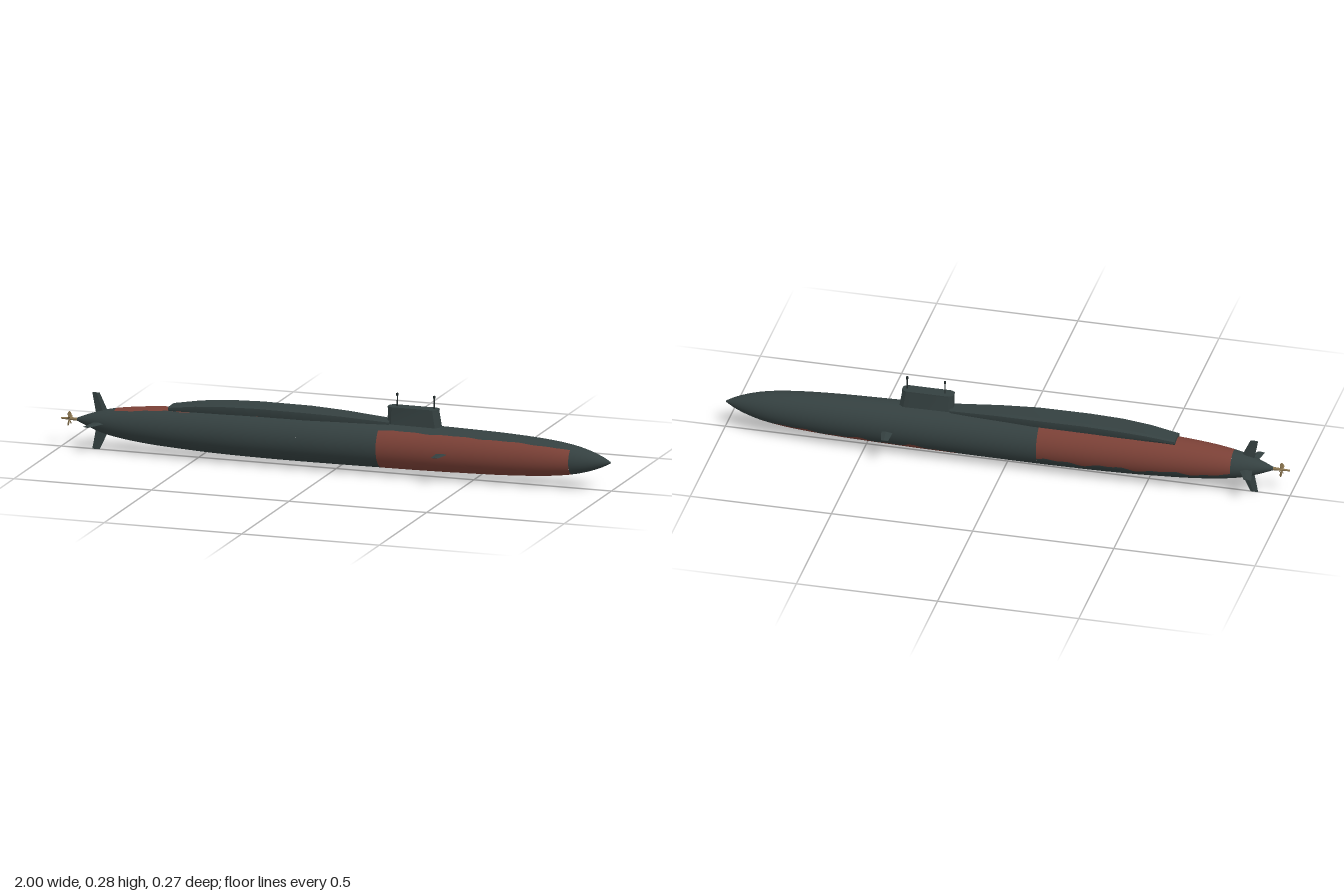
import * as THREE from 'three';
import { toCreasedNormals } from 'three/addons/utils/BufferGeometryUtils.js';
import { ParametricGeometry } from 'three/addons/geometries/ParametricGeometry.js';

const AXIS_Y = 0.1;
const RAD = Math.PI / 180;

function material(name, color) {
  const m = new THREE.MeshStandardMaterial({ color });
  m.name = name;
  return m;
}

// Hull radius along the length
const hullX = [-0.945, -0.9, -0.85, -0.8, -0.7, -0.55, -0.35, 0.25, 0.45, 0.65, 0.78, 0.86, 0.92, 0.97, 0.998];
const hullR = [0.004, 0.022, 0.039, 0.05, 0.063, 0.073, 0.08, 0.08, 0.077, 0.071, 0.062, 0.051, 0.036, 0.017, 0.002];
const hullCurve = new THREE.CubicInterpolant(hullX, hullR, 1, new Float64Array(1));
const radiusAt = (x) => hullCurve.evaluate(x)[0];

// Piece of hull skin between two stations and two angles (0 = +z, 90 = up)
function hullSkin(x0, x1, from, to, stacks) {
  return new ParametricGeometry((u, v, target) => {
    const x = x0 + (x1 - x0) * u;
    const a = THREE.MathUtils.lerp(from(x), to(x), v) * RAD;
    const r = radiusAt(x);
    target.set(x, AXIS_Y + r * Math.sin(a), r * Math.cos(a));
  }, Math.max(6, Math.round((x1 - x0) * 70)), stacks);
}

// Closed solid through rings of equal length, counter-clockwise seen from the last ring
function loft(rings, crease = 0.5) {
  const n = rings[0].length;
  const index = [];
  for (let s = 0; s < rings.length - 1; s++) {
    for (let i = 0; i < n; i++) {
      const j = (i + 1) % n;
      const a = s * n + i, b = s * n + j, c = (s + 1) * n + j, d = (s + 1) * n + i;
      index.push(a, b, c, a, c, d);
    }
  }
  const last = (rings.length - 1) * n;
  for (let i = 1; i < n - 1; i++) {
    index.push(0, i + 1, i);
    index.push(last, last + i, last + i + 1);
  }
  const g = new THREE.BufferGeometry();
  g.setAttribute('position', new THREE.Float32BufferAttribute(rings.flat(2), 3));
  g.setIndex(index);
  return toCreasedNormals(g, crease);
}

// Tapered diamond-section fin growing along +y
function finGeometry(rootY, tipY, root, tip, t) {
  const ring = (y, [x0, x1], h) => {
    const m = x0 + (x1 - x0) * 0.6;
    return [[x1, y, 0], [m, y, -h], [x0, y, 0], [m, y, h]];
  };
  return loft([ring(rootY, root, t), ring(tipY, tip, t * 0.6)], 0.1);
}

export function createModel() {
  const model = new THREE.Group();
  model.name = 'submarine';
  const steel = material('darkSlate', 0x344040);
  const red = material('rustRed', 0x7a4036);
  const brass = material('brass', 0x8a7550);
  const dark = material('blackSteel', 0x222a2a);

  const add = (name, geometry, mat, parent = model) => {
    const mesh = new THREE.Mesh(geometry, mat);
    mesh.name = name;
    parent.add(mesh);
    return mesh;
  };

  // Hull: plain bands, and bands split into red patch and slate remainder
  const hull = new THREE.Group();
  hull.name = 'hull';
  model.add(hull);
  const start = () => 0, full = () => 360;
  for (const [name, x0, x1] of [['sternCone', -0.945, -0.8], ['midHull', -0.12, 0.17], ['bowCone', 0.86, 0.998]]) {
    add(name, hullSkin(x0, x1, start, full, 40), steel, hull);
  }
  const wave = (x, k) => 3 * Math.sin(x * 31 + k) + 2 * Math.sin(x * 67 + k * 2);
  const patches = [
    ['bow', 0.17, 0.86, (x) => -137 + 2 * wave(x, 1), (x) => 51 + wave(x, 0) * 0.4],
    ['stern', -0.8, -0.12, (x) => 62 + wave(x, 2) * 0.6, (x) => 205 + 1.5 * wave(x, 4)],
  ];
  for (const [name, x0, x1, from, to] of patches) {
    add(name + 'RedPatch', hullSkin(x0, x1, from, to, 22), red, hull);
    add(name + 'Plating', hullSkin(x0, x1, to, (x) => from(x) + 360, 22), steel, hull);
  }

  // Raised deck casing aft of the sail: station x, half width, top height
  const section = [[-0.75, 0], [-1, 0.5], [-1, 0.85], [-0.82, 1], [0.82, 1], [1, 0.85], [1, 0.5], [0.75, 0]];
  const stations = [
    [-0.6, 0.033, 0.178], [-0.5, 0.04, 0.194], [-0.4, 0.044, 0.203], [-0.28, 0.044, 0.207],
    [-0.1, 0.044, 0.206], [0.03, 0.036, 0.201], [0.2, 0.025, 0.189],
  ];
  add('deckCasing', loft(stations.map(([x, w, top]) =>
    section.map(([z, y]) => [x, 0.155 + (top - 0.155) * y, z * w]))), steel);

  // Sail with a thin cap plate
  const sailRing = (y, x0, x1, w) => [
    [x1, y, w * 0.55], [x1, y, -w * 0.55], [x1 - 0.015, y, -w], [x0 + 0.015, y, -w],
    [x0, y, -w * 0.6], [x0, y, w * 0.6], [x0 + 0.015, y, w], [x1 - 0.015, y, w],
  ];
  add('sail', loft([sailRing(0.16, 0.19, 0.383, 0.022), sailRing(0.236, 0.192, 0.37, 0.02)]), steel);
  add('sailCap', loft([sailRing(0.235, 0.19, 0.372, 0.023), sailRing(0.239, 0.19, 0.372, 0.023)]), steel);

  // Masts
  for (const x of [0.222, 0.356]) {
    const mast = new THREE.Group();
    mast.name = 'mast';
    mast.position.set(x, 0.238, 0);
    model.add(mast);
    add('mastPole', new THREE.CylinderGeometry(0.002, 0.0025, 0.04, 10), dark, mast).position.y = 0.02;
    add('mastHead', new THREE.CylinderGeometry(0.004, 0.004, 0.009, 10), dark, mast).position.y = 0.0425;
  }

  // Stern fins in a cross
  const sternFin = finGeometry(0.02, 0.1, [-0.872, -0.822], [-0.887, -0.86], 0.004);
  for (let i = 0; i < 4; i++) {
    const fin = add(i % 2 ? 'sternPlane' : 'rudder', sternFin, steel);
    fin.position.y = AXIS_Y;
    fin.rotation.x = i * Math.PI / 2;
  }

  // Bow diving planes
  const bowPlane = finGeometry(0.06, 0.135, [0.388, 0.432], [0.39, 0.416], 0.003);
  for (const side of [1, -1]) {
    const plane = add(side > 0 ? 'bowPlaneFront' : 'bowPlaneBack', bowPlane, steel);
    plane.position.y = AXIS_Y;
    plane.rotation.x = side * Math.PI / 2;
  }

  // Propeller
  const propeller = new THREE.Group();
  propeller.name = 'propeller';
  propeller.position.set(-0.97, AXIS_Y, 0);
  model.add(propeller);
  const hub = add('propellerHub', new THREE.CylinderGeometry(0.006, 0.003, 0.06, 14), brass, propeller);
  hub.rotation.z = -Math.PI / 2;
  const bladeShape = new THREE.Shape();
  bladeShape.moveTo(-0.003, 0.003);
  bladeShape.quadraticCurveTo(-0.012, 0.022, 0, 0.026);
  bladeShape.quadraticCurveTo(0.012, 0.022, 0.003, 0.003);
  const blade = new THREE.ExtrudeGeometry(bladeShape, { depth: 0.002, bevelEnabled: false, curveSegments: 6 });
  blade.translate(0, 0, -0.001).rotateY(0.9);
  for (let i = 0; i < 5; i++) {
    add('propellerBlade', blade, brass, propeller).rotation.x = i * Math.PI * 0.4;
  }
  return model;
}
